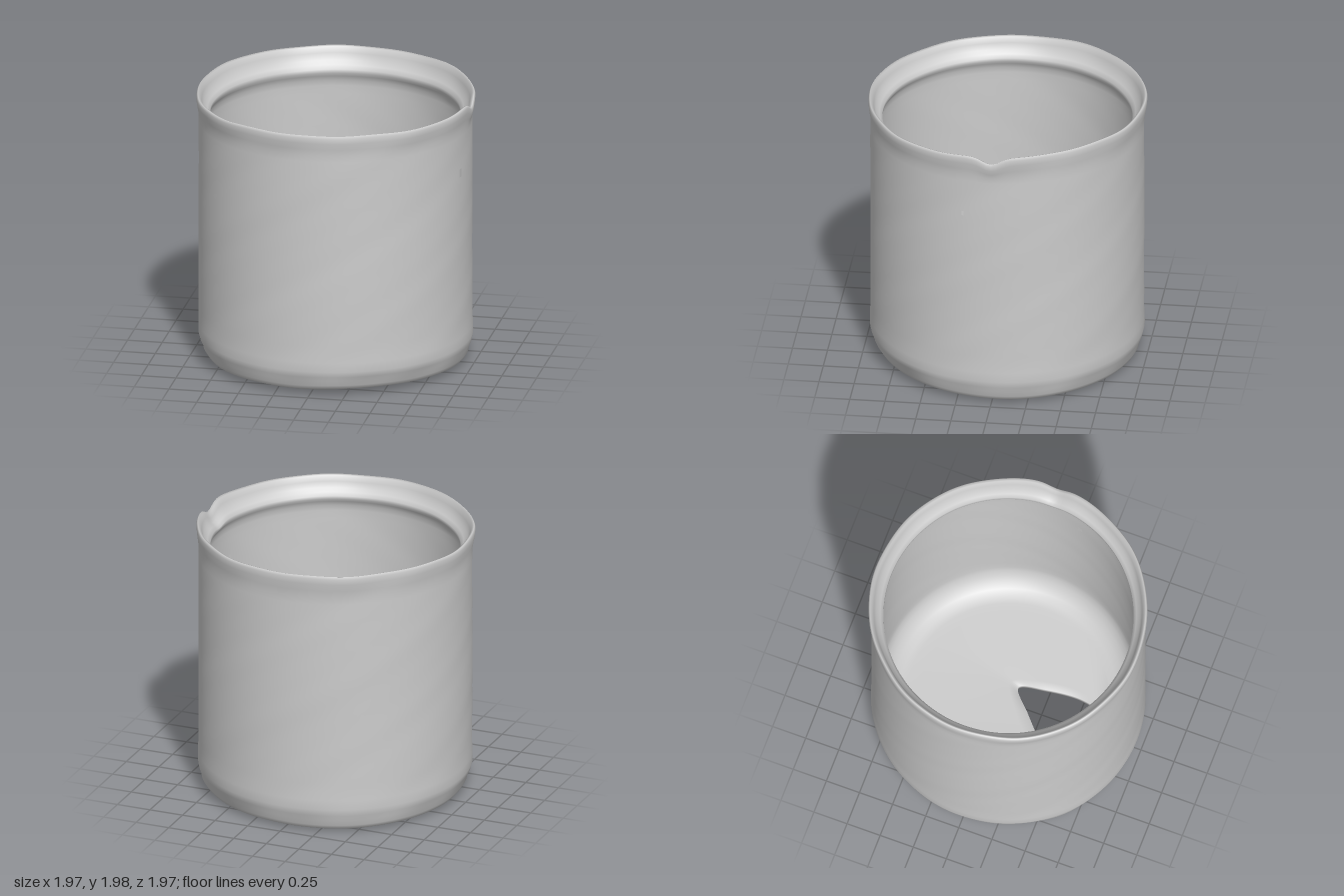
import * as THREE from 'three';

const COLS = 180;
const START = -1.19; // wall angle that lines up with the tip of the floor opening
const bump = (d, w) => Math.exp(-(d * d) / (w * w));
const wave = (a, s) => 0.5 * Math.sin(3 * a + s) + 0.3 * Math.sin(7 * a + 2.3 * s) + 0.2 * Math.sin(13 * a + 4.1 * s);

// Teardrop opening in the floor, as (x, z)
function openingPoints() {
  const pts = [[0.12, 0.03], [0.17, 0.22], [0.19, 0.48], [0.15, 0.61], [0, 0.69], [-0.15, 0.72],
    [-0.31, 0.69], [-0.35, 0.6], [-0.3, 0.44], [-0.2, 0.31], [-0.04, 0.16]];
  return new THREE.CatmullRomCurve3(pts.map(([x, z]) => new THREE.Vector3(x, 0, z)), true).getSpacedPoints(COLS);
}

// Cross-section rows [f, r, y]: f blends from the opening (0) to a circle of radius r (1)
function sectionRows() {
  const rows = [];
  for (let k = 0; k <= 10; k++) rows.push([k / 10, 0.89, 0.03 - 0.012 * Math.sin(k / 10 * Math.PI)]); // underside
  rows.push([1, 0.92, 0.04], [1, 0.938, 0.07], [1, 0.945, 0.11], [1, 0.962, 0.15], [1, 0.972, 0.2], [1, 0.97, 0.27]);
  for (let y = 0.33; y < 1.8; y += 0.06) rows.push([1, 0.968, y]); // outer wall
  rows.push([1, 0.968, 1.82], [1, 0.975, 1.87], [1, 0.984, 1.92], [1, 0.986, 1.96], [1, 0.977, 1.978],
    [1, 0.962, 1.972], [1, 0.948, 1.93], [1, 0.932, 1.885], [1, 0.905, 1.86], [1, 0.885, 1.835],
    [1, 0.884, 1.81], [1, 0.9, 1.785], [1, 0.915, 1.75]); // rim and inner lip
  for (let y = 1.71; y > 0.35; y -= 0.06) rows.push([1, 0.918, y]); // inner wall
  for (let k = 0; k <= 6; k++) { // rounded inner corner
    const a = k / 6 * Math.PI / 2;
    rows.push([1, 0.72 + 0.198 * Math.cos(a), 0.31 - 0.2 * Math.sin(a)]);
  }
  for (let k = 9; k >= 0; k--) rows.push([k / 10, 0.72, 0.07 + 0.04 * k / 10]); // floor
  return rows;
}

function cupGeometry() {
  const rows = sectionRows();
  const hole = openingPoints();
  const positions = [];
  const indices = [];
  rows.forEach(([f, r, y], j) => {
    for (let i = 0; i < COLS; i++) {
      const a = START + i / COLS * Math.PI * 2;
      const rim = THREE.MathUtils.smoothstep(y, 1.75, 1.97);
      const base = 1 - THREE.MathUtils.smoothstep(y, 0.05, 0.25);
      const outer = j < 45;
      // hand-made unevenness of wall, rim and base
      let rr = r + 0.002 * wave(a, y * 6) + rim * 0.006 * wave(a, 1) + (outer ? base * 0.012 * wave(a, 2) : 0);
      let yy = y + rim * (0.008 * wave(a, 3) - 0.015 * Math.sin(a));
      const da = Math.atan2(Math.sin(a), Math.cos(a));
      yy -= rim * 0.055 * bump(da, 0.09); // nick in the rim
      if (outer && f > 0.5) yy += base * (f - 0.5) * (0.025 + 0.02 * Math.sin(a) + 0.015 * wave(a, 5));
      // floor rises into the wall beside the opening
      if (!outer && y < 0.6) yy += 0.1 * bump(Math.atan2(Math.sin(a - 2.7), Math.cos(a - 2.7)), 0.7) * f * (1 - y / 0.6);
      const h = hole[i];
      positions.push(THREE.MathUtils.lerp(h.x, rr * Math.cos(a), f), Math.max(0, yy),
        THREE.MathUtils.lerp(h.z, rr * Math.sin(a), f));
    }
  });
  // small pinhole through both skins of the wall
  const pinCol = Math.floor((0.21 - START) / (Math.PI * 2) * COLS);
  const isPin = (i, j) => i === pinCol && rows[j][0] === 1 && rows[(j + 1) % rows.length][0] === 1 &&
    (rows[j][2] - 1.5) * (rows[(j + 1) % rows.length][2] - 1.5) < 0;
  for (let j = 0; j < rows.length; j++) {
    const n = (j + 1) % rows.length; // the last strip closes the edge of the opening
    for (let i = 0; i < COLS; i++) {
      if (isPin(i, j)) continue;
      const k = (i + 1) % COLS;
      const a = j * COLS + i, b = n * COLS + i, c = n * COLS + k, d = j * COLS + k;
      indices.push(a, b, d, b, c, d);
    }
  }
  const g = new THREE.BufferGeometry();
  g.setAttribute('position', new THREE.Float32BufferAttribute(positions, 3));
  g.setIndex(indices);
  g.computeVertexNormals();
  return g;
}

export function createModel() {
  const group = new THREE.Group();
  group.name = 'cup';
  const body = new THREE.Mesh(cupGeometry(),
    new THREE.MeshStandardMaterial({ color: 0xcccccc, side: THREE.DoubleSide }));
  body.name = 'cupBody';
  group.add(body);
  return group;
}
